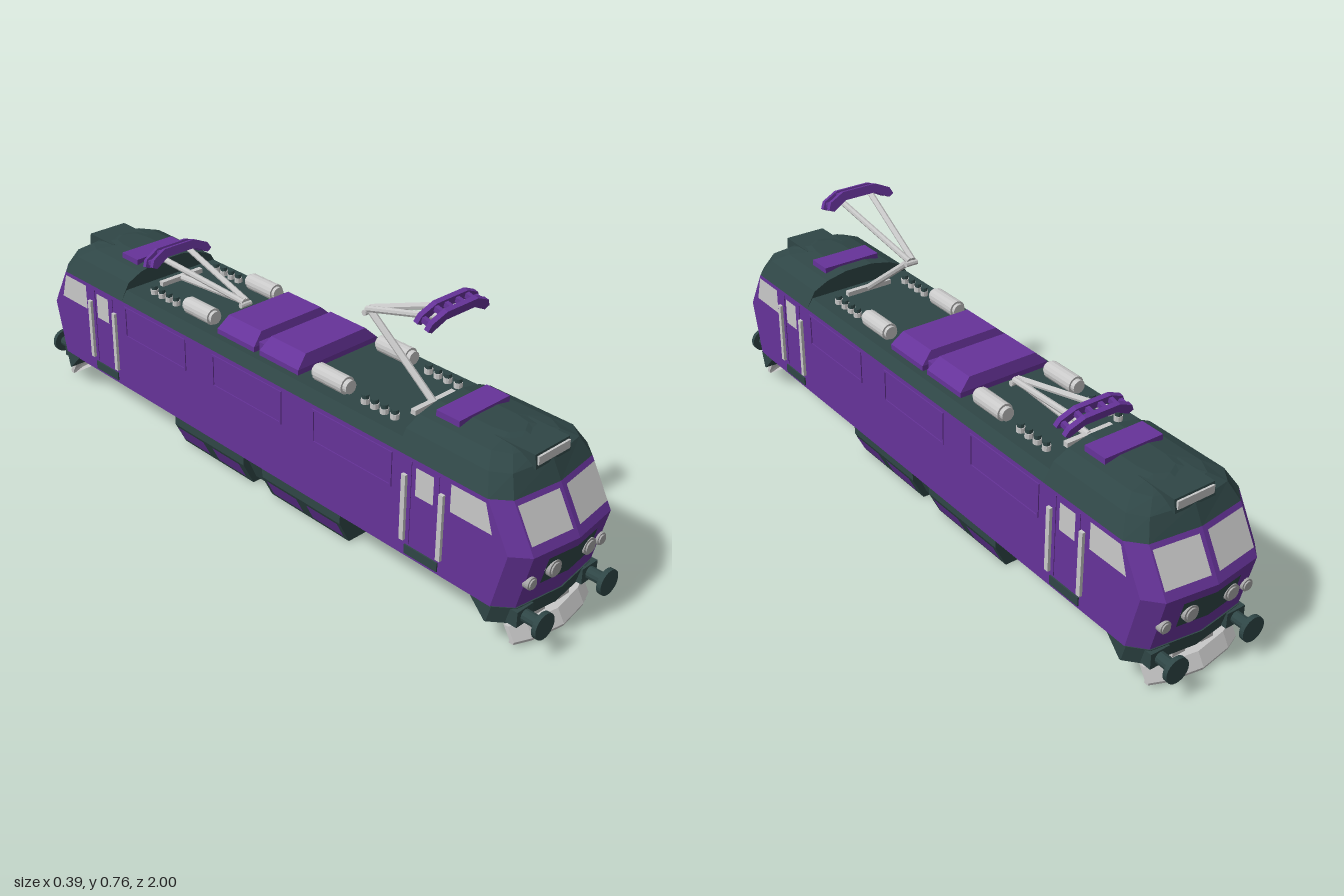
import * as THREE from 'three';

const mat = (name, color) => {
  const m = new THREE.MeshStandardMaterial({ color, side: THREE.DoubleSide, flatShading: true });
  m.name = name;
  return m;
};

export function createModel() {
  const purple = mat('purple', 0x663399), dark = mat('dark slate', 0x2f4646);
  const light = mat('light grey', 0xc8c8c8), lamp = mat('lamp grey', 0xa6a6a6);
  const model = new THREE.Group();
  model.name = 'electricLocomotive';

  const add = (parent, name, geo, material, x = 0, y = 0, z = 0) => {
    const m = new THREE.Mesh(geo, material);
    m.name = name;
    m.position.set(x, y, z);
    parent.add(m);
    return m;
  };
  const box = (p, name, m, w, h, d, x, y, z) => add(p, name, new THREE.BoxGeometry(w, h, d), m, x, y, z);
  const rod = (p, name, m, a, b, r, sides = 8) => {
    const va = new THREE.Vector3(...a), vb = new THREE.Vector3(...b), d = vb.clone().sub(va);
    const o = add(p, name, new THREE.CylinderGeometry(r, r, d.length(), sides), m);
    o.position.copy(va).add(vb).multiplyScalar(0.5);
    o.quaternion.setFromUnitVectors(new THREE.Vector3(0, 1, 0), d.normalize());
    return o;
  };
  // Joins stacked rings of points, bottom to top, and caps both ends
  const loft = (rings) => {
    const pos = [], n = rings[0].length;
    const tri = (a, b, c) => pos.push(...a, ...b, ...c);
    for (let i = 0; i < rings.length - 1; i++) {
      for (let j = 0; j < n; j++) {
        const k = (j + 1) % n, lo = rings[i], hi = rings[i + 1];
        tri(lo[j], lo[k], hi[k]);
        tri(lo[j], hi[k], hi[j]);
      }
    }
    const lo = rings[0], hi = rings[rings.length - 1];
    for (let j = 1; j < n - 1; j++) {
      tri(hi[0], hi[j], hi[j + 1]);
      tri(lo[0], lo[j + 1], lo[j]);
    }
    const g = new THREE.BufferGeometry();
    g.setAttribute('position', new THREE.Float32BufferAttribute(pos, 3));
    g.computeVertexNormals();
    return g;
  };
  const rect = (y, w, z0, z1) => [[-w, y, z1], [w, y, z1], [w, y, z0], [-w, y, z0]];
  // Half plan of a cab: slightly pointed front with cut corners
  const nose = (y, w, zf, zb) => [[-w, y, zb], [-w, y, zf - 0.065], [-w * 0.79, y, zf - 0.02], [0, y, zf],
    [w * 0.79, y, zf - 0.02], [w, y, zf - 0.065], [w, y, zb]];
  const quad = (p, name, m, pts) => {
    const g = new THREE.BufferGeometry();
    g.setAttribute('position', new THREE.Float32BufferAttribute(pts.flat(), 3));
    g.setIndex([0, 1, 2, 0, 2, 3]);
    g.computeVertexNormals();
    return add(p, name, g, m);
  };

  // Main body
  const W = 0.185;
  const full = (y, zf) => {
    const f = nose(y, W, zf, 0).slice(1, 6);
    return [...f, ...f.map(([x, , z]) => [-x, y, -z])];
  };
  add(model, 'body', loft([full(0.12, 0.945), full(0.285, 0.985), full(0.41, 0.915)]), purple);
  add(model, 'middleRoof', loft([rect(0.41, W, -0.57, 0.57), rect(0.44, 0.165, -0.57, 0.57)]), dark);

  // Roof hatches with sloping sides
  for (const s of [-1, 1]) {
    const z = s * 0.088;
    add(model, 'roofHatch', loft([rect(0.44, 0.145, z - 0.077, z + 0.077), rect(0.455, 0.145, z - 0.077, z + 0.077),
      rect(0.489, 0.11, z - 0.068, z + 0.068)]), purple);
  }
  box(model, 'hatchJoint', purple, 0.25, 0.025, 0.03, 0, 0.452, 0);

  // Equipment box under the body
  for (const s of [-1, 1]) {
    const z0 = s > 0 ? 0.04 : -0.35, z1 = s > 0 ? 0.35 : -0.04;
    add(model, 'underBox', loft([rect(0.003, 0.13, z0, z1), rect(0.075, 0.166, z0, z1), rect(0.121, 0.166, z0, z1)]), dark);
    for (const side of [-1, 1]) {
      for (const zc of [0.12, 0.28]) {
        const px = (y) => side * (0.13 + (y - 0.003) * 0.5 + 0.003);
        quad(model, 'underBoxPanel', purple, [[px(0.018), 0.018, s * zc - 0.06], [px(0.018), 0.018, s * zc + 0.06],
          [px(0.07), 0.07, s * zc + 0.06], [px(0.07), 0.07, s * zc - 0.06]]);
      }
    }
  }
  add(model, 'underBoxCentre', loft([rect(0.02, 0.12, -0.05, 0.05), rect(0.09, 0.15, -0.05, 0.05),
    rect(0.121, 0.16, -0.05, 0.05)]), dark);

  // Side panel frames
  for (const side of [-1, 1]) {
    for (const z of [-0.405, 0, 0.405]) {
      for (const s of [-1, 1]) {
        box(model, 'panelFrame', purple, 0.006, 0.006, 0.286, side * W, 0.348 + s * 0.047, z);
        box(model, 'panelFrame', purple, 0.006, 0.1, 0.006, side * W, 0.348, z + s * 0.14);
      }
    }
  }

  // Cab, repeated at both ends
  const frontZ = (x, y) => (y > 0.285 ? 0.985 - (y - 0.285) * 0.56 : 0.985 - (0.285 - y) * 0.2424) - Math.abs(x) * 0.137;
  const frontPlate = (p, name, m, x0, x1, y0, y1) => quad(p, name, m,
    [[x0, y0], [x1, y0], [x1, y1], [x0, y1]].map(([x, y]) => [x, y, frontZ(x, y) + 0.003]));
  const makeEnd = () => {
    const g = new THREE.Group();
    add(g, 'cabRoof', loft([nose(0.41, W, 0.915, 0.562), nose(0.46, 0.156, 0.888, 0.562),
      nose(0.482, 0.11, 0.855, 0.562), nose(0.496, 0.045, 0.8, 0.562)]), dark);
    box(g, 'roofPlate', purple, 0.185, 0.022, 0.075, 0, 0.492, 0.638);
    add(g, 'roofLampHousing', loft([rect(0.455, 0.064, 0.76, 0.888), rect(0.492, 0.064, 0.76, 0.882)]), dark);
    box(g, 'roofLamp', light, 0.116, 0.023, 0.006, 0, 0.476, 0.887);
    add(g, 'skirt', loft([nose(0.07, W, 0.935, 0.865), nose(0.122, W, 0.949, 0.815)]), dark);

    for (const s of [-1, 1]) {
      frontPlate(g, 'windscreen', light, s * 0.013, s * 0.143, 0.31, 0.399);
      frontPlate(g, 'lampPanel', dark, 0, s * 0.092, 0.18, 0.261);
      for (const [x, y, r] of [[0.066, 0.221, 0.023], [0.133, 0.203, 0.017]]) {
        const z = frontZ(x, y);
        rod(g, 'headlight', lamp, [s * x, y, z - 0.01], [s * x, y, z + 0.011], r, 20);
        rod(g, 'headlightLens', lamp, [s * x, y, z], [s * x, y, z + 0.015], r * 0.75, 20);
      }
      // Buffers
      box(g, 'bufferBase', dark, 0.06, 0.045, 0.05, s * 0.125, 0.097, 0.915);
      rod(g, 'bufferShaft', dark, [s * 0.125, 0.098, 0.9], [s * 0.125, 0.098, 0.99], 0.017, 12);
      rod(g, 'bufferDisc', dark, [s * 0.125, 0.098, 0.987], [s * 0.125, 0.098, 1], 0.036, 24);
      // Cab side: windows, door, rails and step
      const x = s * (W + 0.003);
      quad(g, 'cabSideWindow', light, [[x, 0.322, 0.742], [x, 0.322, 0.872], [x, 0.4, 0.848], [x, 0.4, 0.742]]);
      quad(g, 'doorWindow', light, [[x, 0.312, 0.63], [x, 0.312, 0.688], [x, 0.392, 0.688], [x, 0.392, 0.63]]);
      for (const z of [0.612, 0.702]) box(g, 'doorEdge', purple, 0.004, 0.24, 0.004, s * W, 0.28, z);
      for (const z of [0.596, 0.718]) {
        box(g, 'handrail', light, 0.009, 0.19, 0.014, s * 0.192, 0.265, z);
      }
      box(g, 'doorStep', dark, 0.008, 0.026, 0.11, s * W, 0.142, 0.656);
      // Roof tanks and insulators
      rod(g, 'airTank', light, [s * 0.117, 0.463, 0.215], [s * 0.117, 0.463, 0.32], 0.025, 16);
      rod(g, 'airTankEnds', light, [s * 0.117, 0.463, 0.205], [s * 0.117, 0.463, 0.333], 0.019, 16);
      for (const z of [0.385, 0.418, 0.452, 0.488]) {
        rod(g, 'insulator', light, [s * 0.117, 0.44, z], [s * 0.117, 0.455, z], 0.012, 10);
        rod(g, 'insulatorCap', dark, [s * 0.117, 0.455, z], [s * 0.117, 0.466, z], 0.01, 10);
      }
      box(g, 'ploughBracket', light, 0.042, 0.022, 0.03, s * 0.047, 0.062, 0.91);
    }

    // Plough: a leaning plate swept back towards its ends
    const ploughRing = (y, zf) => {
      const xs = [-0.146, -0.1, 0, 0.1, 0.146], z = (x) => zf - 1.7 * x * x;
      return [...xs.map((x) => [x, y, z(x)]), ...xs.reverse().map((x) => [x, y, z(x) - 0.014])];
    };
    add(g, 'plough', loft([ploughRing(0.012, 0.965), ploughRing(0.02, 0.967), ploughRing(0.056, 0.945)]), light);
    return g;
  };
  const front = makeEnd(), back = makeEnd();
  front.name = 'frontEnd';
  back.name = 'backEnd';
  back.rotation.y = Math.PI;
  model.add(front, back);

  // Current collectors: raised at the front, folded at the back
  const shoe = new THREE.Shape([[-0.11, 0.714], [-0.1, 0.734], [-0.055, 0.755], [0.055, 0.755], [0.1, 0.734], [0.11, 0.714],
    [0.095, 0.706], [0.05, 0.73], [-0.05, 0.73], [-0.095, 0.706]].map(([x, y]) => new THREE.Vector2(x, y - 0.735)));
  const collector = (p, elbowY, elbowZ, headY, headZ) => {
    box(p, 'collectorBase', light, 0.15, 0.014, 0.016, 0, 0.45, 0.51);
    rod(p, 'lowerArm', light, [0, 0.45, 0.51], [0, elbowY, elbowZ], 0.01);
    rod(p, 'elbow', light, [-0.019, elbowY - 0.008, elbowZ], [0.019, elbowY - 0.008, elbowZ], 0.008);
    for (const s of [-1, 1]) {
      rod(p, 'upperArm', light, [s * 0.006, elbowY, elbowZ], [s * 0.05, headY - 0.012, headZ], 0.009);
    }
    const head = new THREE.Group();
    head.name = 'contactHead';
    head.position.set(0, headY, headZ);
    head.rotation.x = 0.25;
    for (const z of [-0.025, 0.011]) {
      add(head, 'contactBar', new THREE.ExtrudeGeometry(shoe, { depth: 0.014, bevelEnabled: false }), purple, 0, 0, z);
    }
    for (const x of [-0.092, -0.055, -0.02, 0.02, 0.055, 0.092]) {
      box(head, 'headRib', purple, 0.012, 0.014, 0.04, x, Math.abs(x) > 0.08 ? -0.012 : 0.007, 0);
    }
    p.add(head);
  };
  collector(front, 0.628, 0.275, 0.735, 0.558);
  collector(back, 0.472, 0.215, 0.53, 0.53);

  return model;
}
